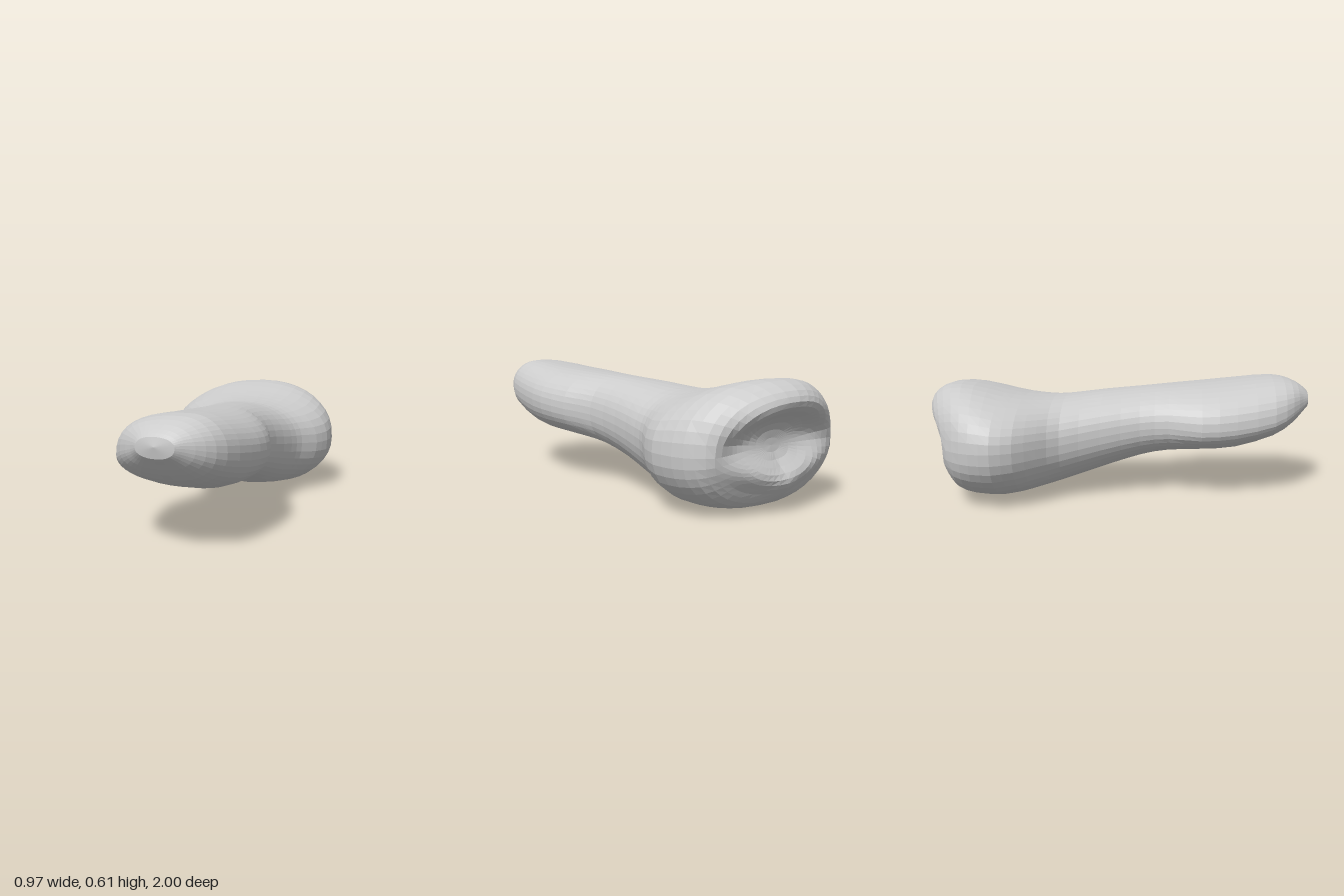
import * as THREE from 'three';

const SIDES = 40;

// Shaft sections, front to back:
// z, xRight, xLeft, yBottom, yTop, x of top, x of bottom, y of right extreme, y of left extreme
const SECTIONS = [
  [0.99, 0.12, 0.3, 0.44, 0.53, 0.21, 0.21, 0.48, 0.49],
  [0.96, 0.08, 0.335, 0.41, 0.557, 0.22, 0.2, 0.465, 0.485],
  [0.90, -0.005, 0.395, 0.355, 0.588, 0.24, 0.19, 0.44, 0.47],
  [0.80, -0.085, 0.445, 0.295, 0.605, 0.27, 0.18, 0.4, 0.45],
  [0.60, -0.148, 0.472, 0.235, 0.588, 0.26, 0.18, 0.37, 0.42],
  [0.42, -0.17, 0.477, 0.222, 0.573, 0.22, 0.18, 0.36, 0.4],
  [0.25, -0.13, 0.435, 0.21, 0.561, 0.18, 0.17, 0.37, 0.38],
  [0.10, -0.13, 0.36, 0.183, 0.55, 0.15, 0.15, 0.36, 0.36],
  [-0.10, -0.18, 0.343, 0.125, 0.535, 0.11, 0.11, 0.33, 0.33],
  [-0.30, -0.258, 0.363, 0.06, 0.514, 0.07, 0.09, 0.3, 0.3],
  [-0.40, -0.345, 0.39, 0.035, 0.516, 0.04, 0.07, 0.3, 0.29],
  [-0.50, -0.44, 0.447, 0.015, 0.528, 0, 0.05, 0.3, 0.28],
  [-0.60, -0.485, 0.48, 0, 0.548, -0.02, 0.05, 0.3, 0.28],
];

// Base rings: scale of the outline, share of the way from the last section to the end face
const BASE_RINGS = [
  [1, 0.25], [0.985, 0.5], [0.95, 0.72], [0.9, 0.88], [0.83, 0.97], [0.76, 1], [0.69, 1],
  [0.62, 1], [0.55, 1], [0.48, 1], [0.4, 1], [0.31, 1], [0.21, 1], [0.1, 1],
];
const CENTRE = [0.02, 0.3];

// Closed outline made of four rounded quadrants between its extreme points
function outline([, x0, x1, y0, y1, xt, xb, yr, yl], i, power = 2.25) {
  const a = (i / SIDES) * Math.PI * 2;
  const c = Math.cos(a), s = Math.sin(a);
  const u = Math.sign(c) * Math.abs(c) ** (2 / power);
  const v = Math.sign(s) * Math.abs(s) ** (2 / power);
  const midX = THREE.MathUtils.lerp(xb, xt, (v + 1) / 2);
  const midY = THREE.MathUtils.lerp(yr, yl, (u + 1) / 2);
  return [
    midX + u * (u > 0 ? x1 - midX : midX - x0),
    midY + v * (v > 0 ? y1 - midY : midY - y0),
  ];
}

// Shallow joint face: a thick upper lip drooping at its ends, and a low lip climbing towards the sides
function faceZ(x, y) {
  const ridge = (d, width) => Math.exp(-((d / width) ** 2));
  const rise = y - 0.5 + x * x;
  const upper = Math.max(0, 0.145 - 0.85 * x * x) * ridge(rise, rise > 0 ? 0.11 : 0.08);
  const lower = Math.max(0, 0.08 - 0.4 * x * x) * ridge(y - 0.14 - 0.3 * Math.abs(x), 0.08);
  return -0.855 + 0.2 * Math.min(0, x) ** 2 - upper - lower;
}

function boneGeometry() {
  const positions = [];
  const index = [];

  // Knuckle and shaft, smoothed between the sections
  const spline = new THREE.CubicInterpolant(SECTIONS.map((_, k) => k), SECTIONS.flat(), 9);
  for (let k = 0; k <= (SECTIONS.length - 1) * 2; k++) {
    const section = [...spline.evaluate(k / 2)];
    for (let i = 0; i < SIDES; i++) positions.push(...outline(section, i), section[0]);
  }

  // Flared base, rounding over its rim into the joint face
  const last = SECTIONS[SECTIONS.length - 1];
  for (const [scale, blend] of BASE_RINGS) {
    const section = [...last];
    section[4] += 0.08 * blend;
    for (let i = 0; i < SIDES; i++) {
      const [ox, oy] = outline(section, i);
      const x = THREE.MathUtils.lerp(CENTRE[0], ox, scale);
      const y = THREE.MathUtils.lerp(CENTRE[1], oy, scale);
      positions.push(x, y, THREE.MathUtils.lerp(last[0], faceZ(x, y), blend));
    }
  }

  // Skin between neighbouring rings
  const tip = positions.length / 3;
  const end = tip - SIDES;
  for (let a = 0; a < end; a++) {
    const b = a % SIDES === SIDES - 1 ? a + 1 - SIDES : a + 1;
    index.push(a, a + SIDES, b, b, a + SIDES, b + SIDES);
  }

  // Close the front tip and the middle of the joint face
  positions.push(0.21, 0.49, 1, ...CENTRE, faceZ(...CENTRE));
  for (let i = 0; i < SIDES; i++) {
    const j = (i + 1) % SIDES;
    index.push(tip, i, j, tip + 1, end + j, end + i);
  }

  const geometry = new THREE.BufferGeometry();
  geometry.setAttribute('position', new THREE.Float32BufferAttribute(positions, 3));
  geometry.setIndex(index);
  geometry.computeVertexNormals();
  return geometry;
}

export function createModel() {
  const group = new THREE.Group();
  group.name = 'toeBone';
  const material = new THREE.MeshStandardMaterial({ color: 0xcccccc, flatShading: true });
  const bone = new THREE.Mesh(boneGeometry(), material);
  bone.name = 'boneBody';
  group.add(bone);
  return group;
}
